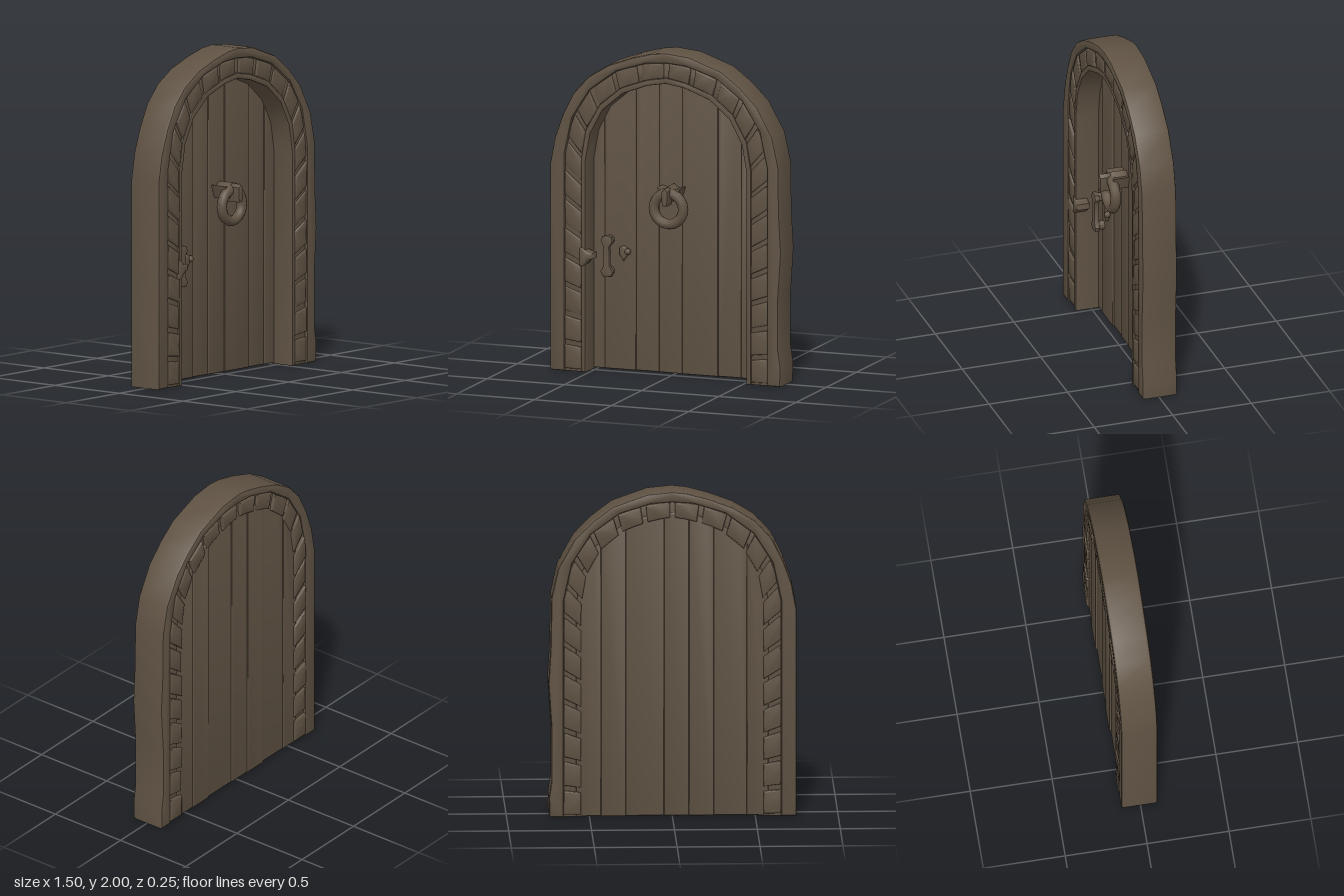
import * as THREE from 'three';
import { toCreasedNormals } from 'three/addons/utils/BufferGeometryUtils.js';

const V = (p) => new THREE.Vector2(p[0], p[1]);

// Half arches, from the floor on the +x side up to the crown.
const OPENING = [[.52, 0], [.52, 1.3], [.49, 1.47], [.41, 1.62], [.28, 1.73], [.12, 1.79], [0, 1.81]];
const LIP = [[.55, 0], [.55, 1.31], [.52, 1.49], [.43, 1.65], [.29, 1.765], [.12, 1.825], [0, 1.845]];
const GROOVE = [[.655, 0], [.655, 1.33], [.605, 1.56], [.49, 1.74], [.32, 1.865], [.13, 1.925], [0, 1.935]];
const DOOR = [[.58, 0], [.58, 1.31], [.55, 1.5], [.46, 1.67], [.31, 1.79], [.13, 1.86], [0, 1.87]];
// Hand-hewn outer edge, slightly uneven, from -x floor to +x floor.
const OUTER = [[-.75, 0], [-.75, 1.27], [-.72, 1.43], [-.67, 1.57], [-.6, 1.71], [-.5, 1.82], [-.37, 1.9],
  [-.22, 1.955], [-.09, 1.99], [0, 2], [.15, 1.985], [.36, 1.91], [.48, 1.82], [.59, 1.71], [.69, 1.53],
  [.73, 1.35], [.735, 1.05], [.748, .82], [.73, .55], [.73, .22], [.745, .12], [.742, 0]];

const fullArch = (half) => [
  ...half.map(([x, y]) => [-x, y]), ...half.slice(0, -1).reverse(),
];

function pathOf(points) {
  const path = new THREE.CurvePath();
  for (let i = 1; i < points.length; i++) path.add(new THREE.LineCurve(V(points[i - 1]), V(points[i])));
  return path;
}

// Closed outline extruded from z0 to z1; the bevel stays inside the outline.
function slab(points, z0, z1, bevel, crease = 0.7) {
  const geo = new THREE.ExtrudeGeometry(new THREE.Shape(points.map(V)), {
    depth: z1 - z0 - 2 * bevel, bevelEnabled: true, bevelThickness: bevel,
    bevelSize: bevel, bevelOffset: -bevel, bevelSegments: 2, curveSegments: 8,
  });
  geo.translate(0, 0, z0 + bevel);
  return toCreasedNormals(geo, crease);
}

const band = (outer, inner) => [...outer, ...[...inner].reverse()];

// Height of a half arch at a given x.
function archY(half, x) {
  const a = Math.abs(x);
  for (let i = half.length - 1; i > 1; i--) {
    const [x0, y0] = half[i], [x1, y1] = half[i - 1];
    if (a <= x1) return y0 + (y1 - y0) * (a - x0) / (x1 - x0);
  }
  return half[1][1];
}

export function createModel() {
  const wood = new THREE.MeshStandardMaterial({ color: 0x5f5243 });
  wood.name = 'weathered brown';
  const model = new THREE.Group();
  model.name = 'archedDoor';
  const add = (name, geo, parent = model) => {
    const mesh = new THREE.Mesh(geo, wood);
    mesh.name = name;
    parent.add(mesh);
    return mesh;
  };
  const group = (name) => {
    const g = new THREE.Group();
    g.name = name;
    model.add(g);
    return g;
  };

  // Surround: outer rim, sunken bed for the blocks, and inner lip
  const opening = fullArch(OPENING), lip = fullArch(LIP), groove = fullArch(GROOVE);
  add('outerRim', slab(band(OUTER, groove), -.117, .106, .016));
  add('blockBed', slab(band(groove, lip), -.1, .088, .002));
  add('innerLip', slab(band(lip, opening), -.1, .1, .008));

  // Raised blocks along the bed, on both faces
  const blocks = group('archBlocks');
  const inPath = pathOf(lip), outPath = pathOf(groove);
  const COUNT = 26;
  for (let i = 0; i < COUNT; i++) {
    const t0 = (i + .09) / COUNT, t1 = (i + .91) / COUNT, tm = (t0 + t1) / 2;
    const at = (path, t) => path.getPointAt(t).toArray();
    const block = [at(outPath, t0), at(outPath, tm), at(outPath, t1), at(inPath, t1), at(inPath, tm), at(inPath, t0)];
    const wobble = .004 * Math.sin(i * 2.4);
    add('frontBlock', slab(block, .07, .101 + wobble, .01, 1), blocks);
    add('backBlock', slab(block, -.12 + wobble, -.08, .01, 1), blocks);
  }

  // Door: uneven vertical planks cut to the arch, set toward the back
  const door = group('doorPlanks');
  const seams = [-.58, -.45, -.25, -.1, .05, .28, .43, .58];
  for (let i = 0; i + 1 < seams.length; i++) {
    const x0 = seams[i], x1 = seams[i + 1], top = [];
    for (let k = 0; k <= 5; k++) {
      const x = x1 + (x0 - x1) * k / 5;
      top.push([x, archY(DOOR, x)]);
    }
    const shift = .005 * Math.sin(i * 2.1);
    add('plank', slab([[x0, .005], [x1, .005], ...top], -.107 + shift, -.045 + shift, .007, .9), door);
  }

  // Ring knocker on its bracket
  const knocker = group('knocker');
  const ring = add('knockerRing', new THREE.TorusGeometry(.095, .032, 10, 20), knocker);
  ring.position.set(0, 1.035, .055);
  add('knockerPlate', slab([[-.05, 1.08], [.05, 1.08], [.075, 1.16], [.035, 1.15], [0, 1.175], [-.035, 1.15], [-.075, 1.16]],
    -.05, .06, .012), knocker);
  add('knockerHook', slab([[-.014, 1.06], [.014, 1.06], [.02, 1.09], [.02, 1.15], [0, 1.17], [-.02, 1.15], [-.02, 1.09]],
    .03, .128, .009), knocker);

  // Pull handle: waisted bar with flared ends on two posts
  const handle = group('pullHandle');
  const bar = [[-.025, -.125], [.03, -.125], [.042, -.095], [.02, -.06], [.018, .06], [.04, .09], [.03, .12],
    [0, .13], [-.03, .12], [-.04, .09], [-.02, .06], [-.022, -.06], [-.042, -.095]];
  add('handleBar', slab(bar.map(([x, y]) => [x - .415, y + .705]), -.01, .025, .01), handle);
  for (const y of [.61, .8]) {
    const post = add('handlePost', new THREE.CylinderGeometry(.025, .032, .07, 10), handle);
    post.rotation.x = Math.PI / 2;
    post.position.set(-.415, y, -.03);
  }

  // Keyhole cover and its small pin
  const lock = group('keyholeCover');
  add('coverDrop', slab([[-.325, .675], [-.3, .71], [-.3, .755], [-.325, .77], [-.35, .755], [-.35, .71]], -.06, -.02, .012, 1), lock);
  const pin = add('coverPin', new THREE.SphereGeometry(.02, 10, 8), lock);
  pin.position.set(-.295, .735, -.025);

  // Latch catch on the surround
  add('latchCatch', slab([[-.56, .65], [-.53, .65], [-.5, .69], [-.47, .7], [-.475, .735], [-.51, .74], [-.54, .77], [-.56, .76]],
    .02, .108, .014, 1));

  return model;
}
